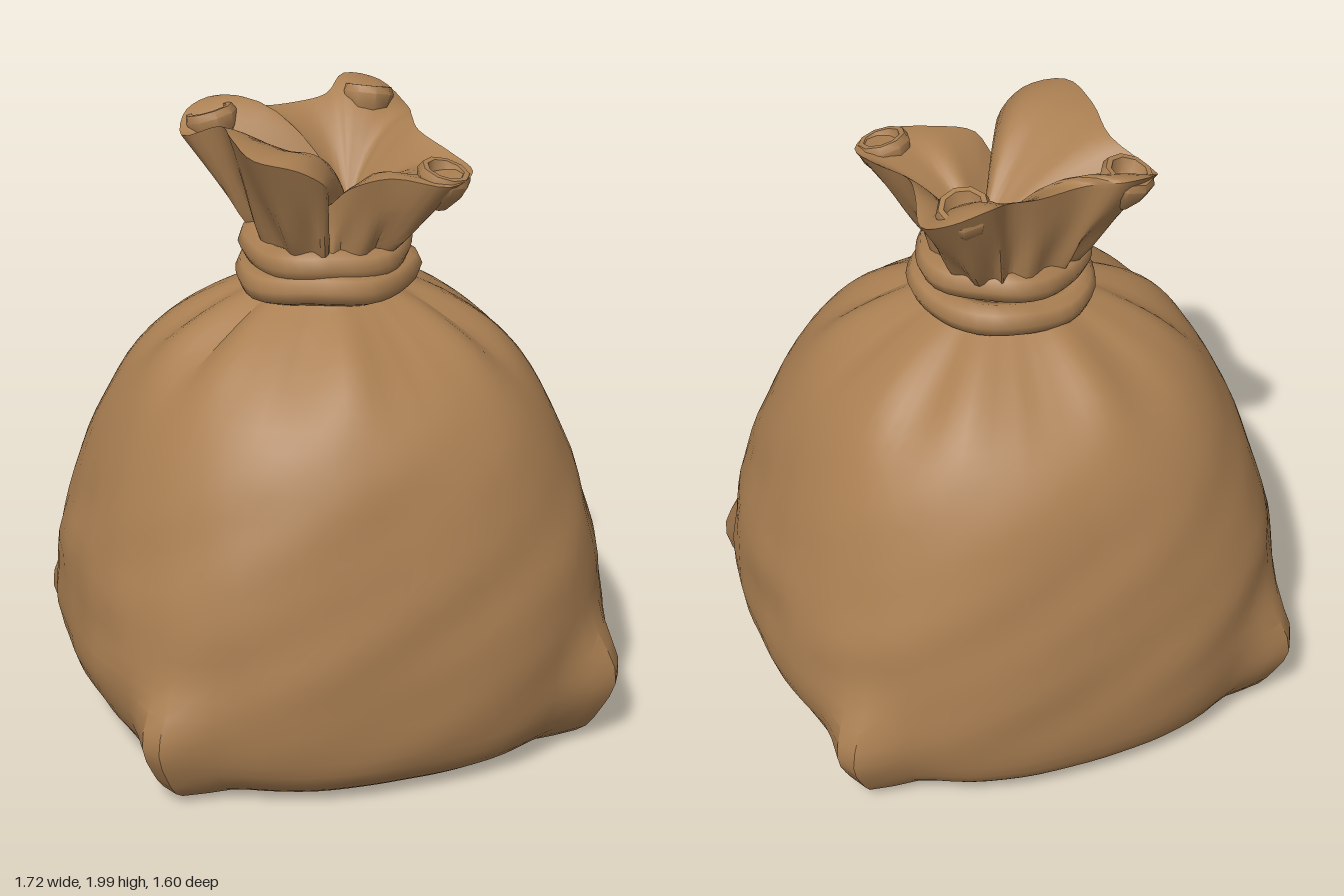
import * as THREE from 'three';
import { toCreasedNormals } from 'three/addons/utils/BufferGeometryUtils.js';

const TAU = Math.PI * 2;
const lerp = THREE.MathUtils.lerp;
const bell = (v, mid, width) => Math.exp(-(((v - mid) / width) ** 2));

// Skin over closed rings; point(row, angle, fraction) returns [x, y, z]
function loft(rows, segs, point, crease) {
  const pos = [], index = [];
  for (let i = 0; i < rows; i++)
    for (let j = 0; j < segs; j++) pos.push(...point(i, (j / segs) * TAU, j / segs));
  for (let i = 0; i < rows - 1; i++)
    for (let j = 0; j < segs; j++) {
      const k = (j + 1) % segs;
      const a = i * segs + j, b = i * segs + k, c = a + segs, d = b + segs;
      index.push(a, c, b, b, c, d);
    }
  const geo = new THREE.BufferGeometry();
  geo.setAttribute('position', new THREE.Float32BufferAttribute(pos, 3));
  geo.setIndex(index);
  geo.computeVertexNormals();
  return toCreasedNormals(geo, crease);
}

// Sack body: height, half width, half depth
const PROFILE = [
  [0.01, 0.001, 0.001], [0, 0.4, 0.4], [0, 0.62, 0.61], [0.02, 0.71, 0.69], [0.09, 0.78, 0.765],
  [0.2, 0.83, 0.795], [0.33, 0.86, 0.80], [0.46, 0.85, 0.797], [0.6, 0.84, 0.78], [0.75, 0.795, 0.755],
  [0.9, 0.75, 0.72], [1.05, 0.69, 0.675], [1.18, 0.615, 0.60], [1.28, 0.52, 0.5],
  [1.36, 0.41, 0.39], [1.42, 0.3, 0.29], [1.46, 0.22, 0.22], [1.53, 0.2, 0.2], [1.62, 0.19, 0.19],
].map(p => new THREE.Vector3(...p));

function bodyGeometry() {
  const curve = new THREE.CatmullRomCurve3(PROFILE);
  const rows = 43;
  return loft(rows, 88, (i, th) => {
    const p = curve.getPoint(i / (rows - 1));
    const y = Math.max(p.x, 0), c = Math.cos(th), s = Math.sin(th);
    const n = lerp(2.55, 2.1, THREE.MathUtils.smoothstep(y, 0.6, 1.4));
    let r = (Math.abs(c / p.y) ** n + Math.abs(s / p.z) ** n) ** (-1 / n);
    const size = Math.min(1, r / 0.7);
    // Bulging bottom corners
    const fold = Math.atan2(Math.abs(s), Math.abs(c));
    r += size ** 3 * bell(fold, 0.69, 0.12) * (0.115 * bell(y, 0.2, 0.17) + 0.09 * bell(y, 0, 0.09));
    // Sides tucked in under the base
    r -= 0.12 * size ** 3 * bell(fold, 0, 0.42) * bell(y, 0, 0.13);
    // Gathered pleats below the tie, with sharp valleys
    const pleat = 2 * Math.abs(Math.sin(4.5 * th + 0.4 * Math.sin(2 * th) + 0.3)) - 1.2 + 0.4 * Math.cos(14 * th + 1);
    r += 0.026 * pleat * bell(y, 1.34, 0.12) * Math.min(1, r / 0.3);
    // Broad dents and small wrinkles in the cloth
    r += 0.008 * size * Math.sin(5 * th + 6 * y) * Math.sin(7 * y + 3 * th + 1) * bell(y, 0.6, 0.5);
    r += 0.004 * size * Math.sin(17 * th + 9 * y) * Math.sin(19 * y - 6 * th) * bell(y, 0.6, 0.5);
    return [r * c, y, r * s];
  }, 0.5);
}

// Ruffled rim of the mouth, from the left side round by the front
const RIM = [
  [0.30, 1.90, 0.0], [0.35, 1.87, 0.16], [0.37, 1.85, 0.29], [0.26, 1.84, 0.385], [0.1, 1.86, 0.31],
  [-0.02, 1.83, 0.28], [-0.065, 1.76, 0.21], [-0.1, 1.85, 0.3], [-0.2, 1.92, 0.335], [-0.32, 1.95, 0.29],
  [-0.335, 1.965, 0.1], [-0.32, 1.95, -0.08], [-0.405, 1.89, -0.21], [-0.36, 1.94, -0.31],
  [-0.25, 1.965, -0.35], [-0.15, 1.94, -0.29], [0, 1.935, -0.30], [0.1, 1.95, -0.31],
  [0.18, 1.99, -0.38], [0.3, 1.96, -0.37], [0.355, 1.9, -0.26], [0.32, 1.91, -0.12],
].map(p => new THREE.Vector3(...p));

function mouthGeometry() {
  const rim = new THREE.CatmullRomCurve3(RIM, true);
  const outer = [0, 0.12, 0.25, 0.4, 0.55, 0.7, 0.85, 0.95, 1];
  const inner = [0.06, 0.15, 0.28, 0.42, 0.56, 0.7, 0.82, 0.92, 1];
  return loft(outer.length + inner.length, 88, (i, th, u) => {
    const p = rim.getPoint(u);
    if (i < outer.length) {
      // Outside flare with pleats rising from the tie
      const t = outer[i];
      const a = Math.atan2(p.z, p.x);
      const pleat = 1 + 0.1 * Math.cos(15 * th) * bell(t, 0.3, 0.3);
      return [
        lerp(0.2 * pleat * Math.cos(a), p.x, t),
        lerp(1.56, p.y, t),
        lerp(0.22 * pleat * Math.sin(a), p.z, t ** 0.9),
      ];
    }
    // Inside: puffed lobes pinched down towards the middle
    const t = inner[i - outer.length];
    const lobe = 0.035 * Math.cos(4 * (th - 0.8)) * Math.sin(Math.PI * t);
    return [lerp(p.x, 0.09, t), lerp(p.y, 1.66, t ** 1.9) + lobe * Math.min(1, (p.y - 1.7) * 6), lerp(p.z, -0.06, t)];
  }, 0.75);
}

// Wavy closed band round the neck
function tieGeometry(radius, y, tilt, phase) {
  const pts = [];
  for (let i = 0; i < 18; i++) {
    const a = (i / 18) * TAU;
    const r = radius + 0.007 * Math.sin(5 * a + phase);
    pts.push(new THREE.Vector3(r * Math.cos(a), y + tilt * Math.sin(a + phase) + 0.006 * Math.sin(4 * a), r * Math.sin(a)));
  }
  return new THREE.TubeGeometry(new THREE.CatmullRomCurve3(pts, true), 40, 0.052, 8, true);
}

export function createModel() {
  const group = new THREE.Group();
  const cloth = new THREE.MeshStandardMaterial({ color: 0xaa7f52 });
  cloth.name = 'brown cloth';
  const add = (name, geo) => {
    const mesh = new THREE.Mesh(geo, cloth);
    mesh.name = name;
    group.add(mesh);
    return mesh;
  };

  add('sackBody', bodyGeometry());
  add('sackMouth', mouthGeometry());
  add('lowerTie', tieGeometry(0.24, 1.485, 0.01, 0.4));
  add('upperTie', tieGeometry(0.22, 1.575, 0.012, 2.6));

  // Rolled corners of the mouth
  const roll = [[0.04, -0.12], [0.075, -0.06], [0.085, -0.02], [0.075, 0.003], [0.058, 0.003], [0.042, -0.04], [0, -0.06]]
    .map(p => new THREE.Vector2(...p));
  for (const [x, y, z] of [[-0.3, 1.945, -0.265], [0.235, 1.965, -0.295], [0.28, 1.865, 0.295]]) {
    const curl = add('rolledCorner', toCreasedNormals(new THREE.LatheGeometry(roll, 9), 0.9));
    curl.position.set(x, y, z);
    curl.quaternion.setFromUnitVectors(new THREE.Vector3(0, 1, 0), new THREE.Vector3(x, 1.3, z).normalize());
  }
  return group;
}
